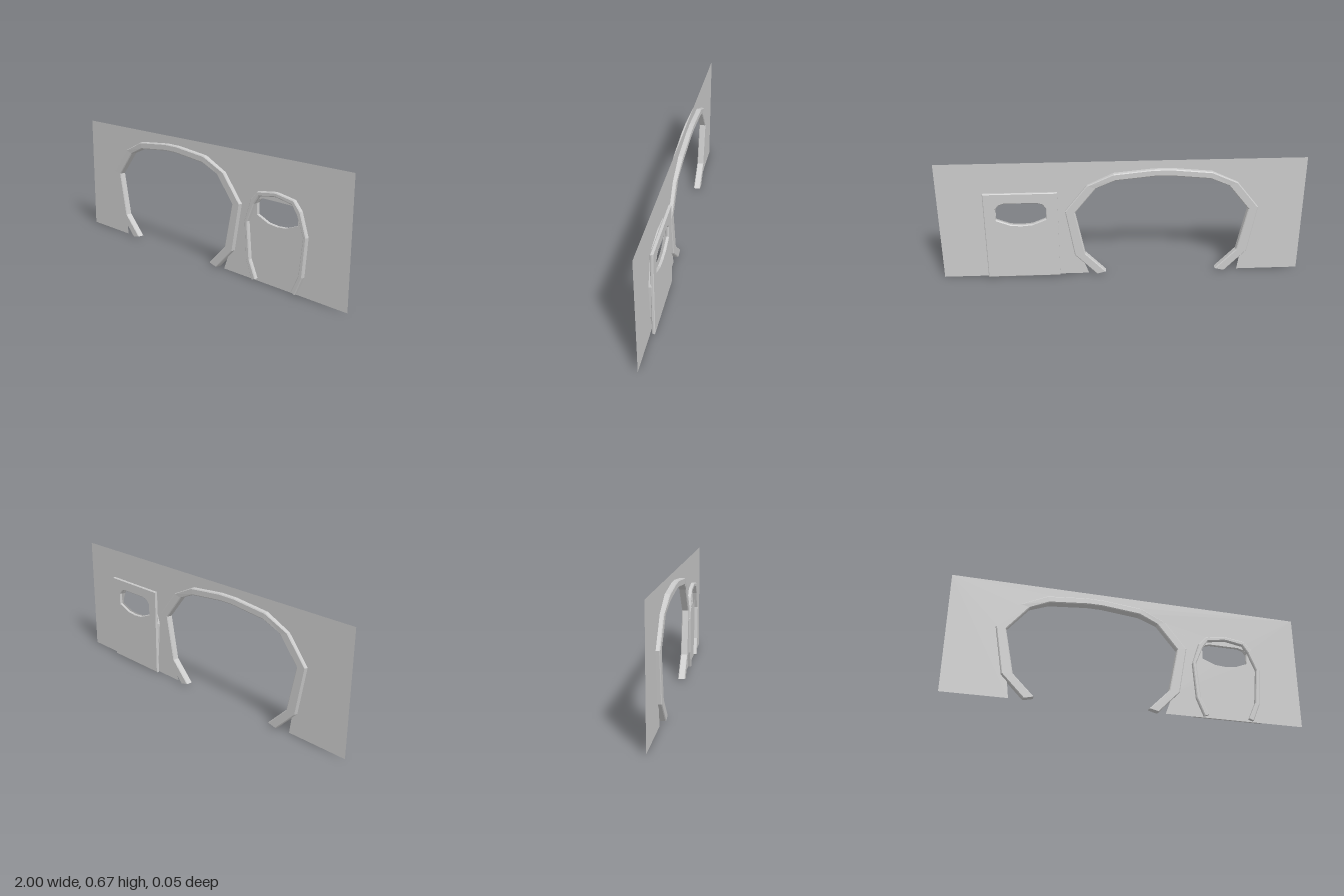
import * as THREE from 'three';

const material = new THREE.MeshStandardMaterial({ color: 0xcccccc, flatShading: true, side: THREE.DoubleSide });

// Half profiles from foot to crown: [outer dx, outer y, inner dx, inner y, half depth]
const LARGE = [
  [0.364, 0.002, 0.310, 0.015, 0.019],
  [0.484, 0.125, 0.425, 0.131, 0.019],
  [0.531, 0.392, 0.477, 0.382, 0.019],
  [0.411, 0.539, 0.360, 0.525, 0.020],
  [0.267, 0.606, 0.256, 0.569, 0.026],
  [0.050, 0.627, 0.040, 0.590, 0.026],
];
const SMALL = [
  [0.145, 0.004, 0.118, 0.014, 0.019],
  [0.187, 0.104, 0.162, 0.110, 0.019],
  [0.203, 0.312, 0.182, 0.312, 0.019],
  [0.161, 0.435, 0.139, 0.414, 0.019],
  [0.118, 0.483, 0.107, 0.459, 0.019],
  [0.010, 0.499, 0.010, 0.476, 0.019],
];
const LARGE_X = -0.216, SMALL_X = 0.553;

// Mirror a half profile into a full left-to-right arch
function fullArch(half, cx) {
  const side = s => half.map(([ox, oy, ix, iy, d]) => ({
    o: new THREE.Vector2(cx + s * ox, oy), i: new THREE.Vector2(cx + s * ix, iy), d,
  }));
  return [...side(-1), ...side(1).reverse()];
}

// Band with a chamfered rectangular section, swept along the arch
function archBand(name, stations, chamfer) {
  const pos = [], idx = [], n = 8, z0 = 0.001;
  for (const { o, i, d } of stations) {
    const t = chamfer / o.distanceTo(i), c = chamfer * 0.8;
    const ring = [[1 - t, d], [1, d - c], [1, c - d], [1 - t, -d], [t, -d], [0, c - d], [0, d - c], [t, d]];
    for (const [u, z] of ring) {
      const p = i.clone().lerp(o, u);
      pos.push(p.x, p.y, z0 + z);
    }
  }
  const last = (stations.length - 1) * n;
  for (let s = 0; s < last; s += n) {
    for (let k = 0; k < n; k++) {
      const a = s + k, b = s + (k + 1) % n;
      idx.push(a, a + n, b, b, a + n, b + n);
    }
  }
  // foot caps
  for (let k = 1; k < n - 1; k++) idx.push(0, k, k + 1, last, last + k + 1, last + k);
  const g = new THREE.BufferGeometry();
  g.setAttribute('position', new THREE.Float32BufferAttribute(pos, 3));
  g.setIndex(idx);
  const flat = g.toNonIndexed();
  flat.computeVertexNormals();
  const mesh = new THREE.Mesh(flat, material);
  mesh.name = name;
  return mesh;
}

// Window outline, grown by an optional margin
function windowPath(m = 0) {
  const half = [[0, 0.449 + m], [0.088, 0.449 + m], [0.118 + m / 2, 0.441 + m / 2], [0.136 + m, 0.418],
    [0.136 + m, 0.354 - m / 2], [0.060, 0.324 - m], [0, 0.319 - m]];
  const left = half.slice(1, -1).reverse().map(([x, y]) => [-x, y]);
  return new THREE.Path([...half, ...left].map(([x, y]) => new THREE.Vector2(SMALL_X + x, y)));
}

export function createModel() {
  const group = new THREE.Group();
  group.name = 'wallWithArches';
  const large = fullArch(LARGE, LARGE_X);

  // Thin wall, cut out along the middle of the large arch
  const opening = large.slice(1, -1).map(({ o, i }) => o.clone().lerp(i, 0.5));
  const V = (x, y) => new THREE.Vector2(x, y);
  const wallShape = new THREE.Shape([
    V(-1, 0), V(-0.654, 0), ...opening, V(0.19, 0), V(1, 0), V(1, 0.672), V(-1, 0.672),
  ]);
  wallShape.holes.push(windowPath());
  const wall = new THREE.Mesh(new THREE.ShapeGeometry(wallShape), material);
  wall.name = 'wall';
  group.add(wall);

  // Arch frames
  group.add(archBand('largeArchFrame', large, 0.005));
  group.add(archBand('doorArchFrame', fullArch(SMALL, SMALL_X), 0.005));

  // Door slab behind the wall, with bevelled edges and a window
  const bevel = 0.004;
  const x0 = 0.353 + bevel, x1 = 0.753 - bevel, y0 = 0.004 + bevel, y1 = 0.508 - bevel;
  const doorShape = new THREE.Shape([V(x0, y0), V(x1, y0), V(x1, y1), V(x0, y1)]);
  doorShape.holes.push(windowPath(bevel));
  const doorGeo = new THREE.ExtrudeGeometry(doorShape, {
    depth: 0.009, bevelEnabled: true, bevelThickness: bevel, bevelSize: bevel, bevelSegments: 1,
  });
  doorGeo.translate(0, 0, -0.026 + bevel);
  const door = new THREE.Mesh(doorGeo, material);
  door.name = 'doorPanel';
  group.add(door);

  return group;
}
